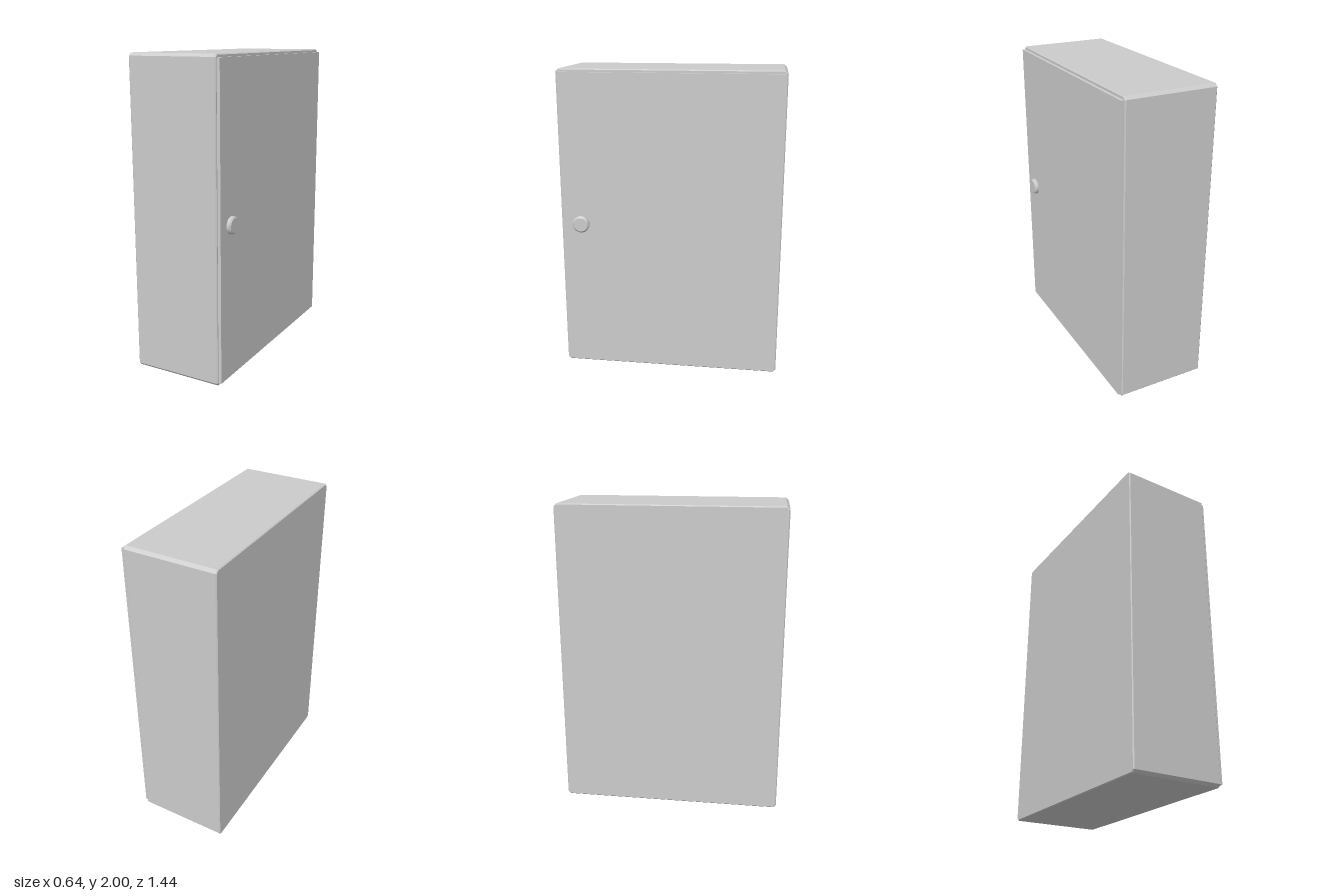
import * as THREE from 'three';
import { toCreasedNormals } from 'three/addons/utils/BufferGeometryUtils.js';

const material = new THREE.MeshStandardMaterial({ color: 0xcccccc });

function addPart(group, name, geometry) {
  const mesh = new THREE.Mesh(geometry, material);
  mesh.name = name;
  group.add(mesh);
}

// Rectangle in z and y with cut corners
function cutRectangle(halfZ, bottom, top, cut) {
  return new THREE.Shape([
    [-halfZ + cut, bottom], [halfZ - cut, bottom], [halfZ, bottom + cut], [halfZ, top - cut],
    [halfZ - cut, top], [-halfZ + cut, top], [-halfZ, top - cut], [-halfZ, bottom + cut],
  ].map(([z, y]) => new THREE.Vector2(z, y)));
}

export function createModel() {
  const group = new THREE.Group();
  group.name = 'wallCabinet';

  // Cabinet body: chamfered long edges, with a fine bevel round both faces
  const bevel = 0.006;
  const body = new THREE.ExtrudeGeometry(cutRectangle(0.72, 0, 2, 0.018), {
    depth: 0.595 - 2 * bevel, bevelEnabled: true, bevelSegments: 1,
    bevelThickness: bevel, bevelSize: bevel, bevelOffset: -bevel,
  });
  body.rotateY(Math.PI / 2).translate(-0.32 + bevel, 0, 0);
  addPart(group, 'cabinetBody', body);

  // Flat door panel, slightly smaller than the body
  const door = new THREE.BoxGeometry(0.03, 1.96, 1.414);
  door.translate(0.28, 1, 0);
  addPart(group, 'door', door);

  // Round lock with a chamfered rim
  const profile = [[0, 0], [0.055, 0], [0.055, 0.019], [0.045, 0.028], [0, 0.028]]
    .map(([r, h]) => new THREE.Vector2(r, h));
  const lock = toCreasedNormals(new THREE.LatheGeometry(profile, 32), 0.5);
  lock.rotateZ(-Math.PI / 2).translate(0.292, 1, 0.583);
  addPart(group, 'doorLock', lock);

  return group;
}
